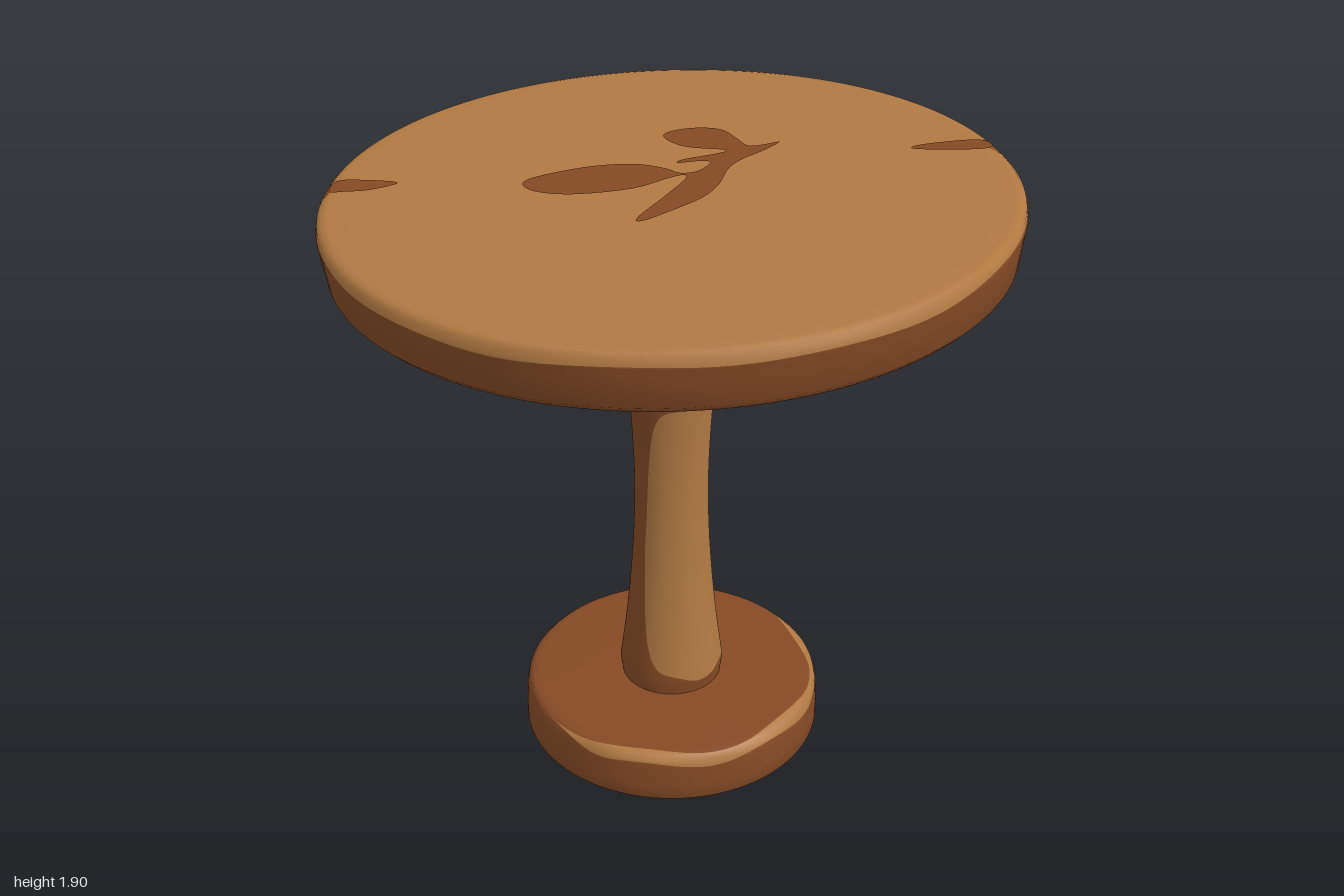
import * as THREE from 'three';

const COLUMNS = 192;
const tan = new THREE.MeshStandardMaterial({ color: 0xb07943 });
tan.name = 'light tan wood';
const brown = new THREE.MeshStandardMaterial({ color: 0x854a25 });
brown.name = 'dark brown wood';

// Revolves the stretch of a profile between two wavy limits.
// Limits are functions of the angle (0 = front, + towards +x), in profile steps.
function revolve(name, profile, from, to, material) {
  const rows = profile.length, position = [], steps = [], index = [];
  for (let i = 0; i < COLUMNS; i++) {
    const angle = (i / COLUMNS) * Math.PI * 2 - Math.PI;
    const low = from(angle), high = Math.max(low, to(angle));
    for (let k = 0; k < rows; k++) {
      const s = THREE.MathUtils.clamp(k, low, high);
      const j = Math.min(Math.floor(s), rows - 2), f = s - j;
      const r = THREE.MathUtils.lerp(profile[j][0], profile[j + 1][0], f);
      const y = THREE.MathUtils.lerp(profile[j][1], profile[j + 1][1], f);
      position.push(r * Math.sin(angle), y, r * Math.cos(angle));
      steps.push(s);
    }
  }
  for (let i = 0; i < COLUMNS; i++) {
    for (let k = 0; k < rows - 1; k++) {
      const a = i * rows + k, b = ((i + 1) % COLUMNS) * rows + k;
      if (steps[a] === steps[a + 1] && steps[b] === steps[b + 1]) continue;
      index.push(a, b, b + 1, a, b + 1, a + 1);
    }
  }
  const geometry = new THREE.BufferGeometry();
  geometry.setAttribute('position', new THREE.Float32BufferAttribute(position, 3));
  geometry.setIndex(index);
  geometry.computeVertexNormals();
  const mesh = new THREE.Mesh(geometry, material);
  mesh.name = name;
  return mesh;
}

// Flat painted patch from a closed smooth outline of [x, z] points
function patch(name, points, height) {
  const outline = new THREE.CatmullRomCurve3(
    points.map(([x, z]) => new THREE.Vector3(x, -z, 0)), true, 'catmullrom', 0.5);
  const shape = new THREE.Shape(outline.getPoints(points.length * 4).slice(0, -1)
    .map((p) => new THREE.Vector2(p.x, p.y)));
  const mesh = new THREE.Mesh(new THREE.ShapeGeometry(shape).rotateX(-Math.PI / 2), brown);
  mesh.name = name;
  mesh.position.y = height;
  return mesh;
}

const constant = (value) => () => value;

function createTabletop() {
  const group = new THREE.Group();
  group.name = 'tabletop';
  const profile = [[0, 0], [0.93, 0], [0.965, 0.005], [0.985, 0.025], [0.995, 0.1], [1, 0.14],
    [0.995, 0.165], [0.983, 0.177], [0.965, 0.181], [0.9, 0.183], [0, 0.183]];

  // Worn rim edge, with dark notches running into the top
  const notches = [[0.88, 0.06, 2.7], [-2.574, 0.06, 2.7], [2.109, 0.035, 2.3], [1.1, 0.25, 0.7]];
  const rim = (a) => {
    let s = 5.5 - 0.5 * Math.cos(a + 1.2) + 0.15 * Math.sin(5 * a) + 0.1 * Math.sin(11 * a + 1);
    for (const [at, width, depth] of notches) s += depth * Math.exp(-(((a - at) / width) ** 2));
    return Math.min(s, 8.2);
  };
  group.add(revolve('tabletopSide', profile, constant(0), rim, brown));
  group.add(revolve('tabletopSurface', profile, rim, constant(10), tan));

  // Painted sprig and edge cracks
  group.add(patch('leafSprig', [
    [-0.22, -0.36], [-0.16, -0.37], [-0.02, -0.29], [0.07, -0.19], [0.095, -0.09], [0.09, -0.03],
    [0.13, 0.005], [0.2, 0.0], [0.19, -0.035], [0.145, -0.08], [0.18, -0.08], [0.27, -0.02],
    [0.3, -0.02], [0.26, -0.13], [0.28, -0.22], [0.325, -0.245], [0.395, -0.2], [0.43, -0.12],
    [0.395, -0.04], [0.365, 0.02], [0.395, 0.055], [0.44, 0.085], [0.35, 0.08], [0.27, 0.065],
    [0.19, 0.07], [0.085, 0.11], [-0.02, 0.125], [-0.155, 0.1], [-0.24, 0.075], [-0.225, 0.05],
    [-0.075, 0.03], [0.06, 0.008], [0.08, -0.015], [0.03, -0.04], [-0.075, -0.08],
    [-0.19, -0.19], [-0.235, -0.29]], 0.186));
  group.add(patch('backCrack', [[-0.55, -0.8], [-0.485, -0.84], [-0.44, -0.79], [-0.395, -0.68],
    [-0.475, -0.71], [-0.53, -0.77]], 0.186));
  group.add(patch('frontCrack', [[0.6, 0.455], [0.63, 0.445], [0.73, 0.535], [0.765, 0.595],
    [0.73, 0.635], [0.68, 0.59]], 0.186));

  // The top sits slightly crooked
  group.position.y = 1.683;
  group.rotation.set(-0.02, 0, 0.02);
  return group;
}

function createStem() {
  const group = new THREE.Group();
  group.name = 'stem';
  const bottom = 0.17, step = 0.05;
  const profile = [];
  for (let k = 0; k <= 31; k++) {
    const y = bottom + k * step;
    profile.push([0.115 + 0.065 * (Math.abs(y - 0.88) / 0.75) ** 1.8, y]);
  }
  profile[0][0] = 0.16;
  profile[30][0] = 0.181;
  profile[31][0] = 0.165;

  // Light panel over the front half
  const bulge = (a) => Math.sqrt(Math.max(0, 1 - (Math.abs(a) / 1.68) ** 6));
  const toStep = (y) => (y - bottom) / step;
  const low = (a) => toStep(0.7 - (0.475 + 0.012 * Math.sin(5 * a + 3)) * bulge(a));
  const high = (a) => toStep(0.7 + (0.52 + 0.012 * Math.cos(4 * a)) * bulge(a));
  group.add(revolve('stemFoot', profile, constant(0), low, brown));
  group.add(revolve('stemPanel', profile, low, high, tan));
  group.add(revolve('stemNeck', profile, high, constant(31), brown));
  group.position.x = -0.004;
  return group;
}

function createBase() {
  const group = new THREE.Group();
  group.name = 'base';
  const profile = [[0, 0], [0.465, 0], [0.48, 0.012], [0.48, 0.06], [0.476, 0.125],
    [0.47, 0.152], [0.455, 0.167], [0.43, 0.172], [0, 0.174]];

  // Worn light streak along the front of the rim
  const wear = (a) => THREE.MathUtils.smoothstep(Math.cos(a + 0.1), -0.25, 0.3);
  const low = (a) => 5.5 - (1.1 + 0.3 * Math.sin(7 * a)) * wear(a);
  const high = (a) => 5.5 + (0.8 + 0.45 * Math.sin(6 * a + 2)) * wear(a);
  group.add(revolve('baseUnderside', profile, constant(0), constant(1), tan));
  group.add(revolve('baseSide', profile, constant(1), low, brown));
  group.add(revolve('baseRimWear', profile, low, high, tan));
  group.add(revolve('baseTop', profile, high, constant(8), brown));
  group.position.x = -0.003;
  return group;
}

export function createModel() {
  const model = new THREE.Group();
  model.name = 'roundPedestalTable';
  model.add(createTabletop(), createStem(), createBase());
  return model;
}
